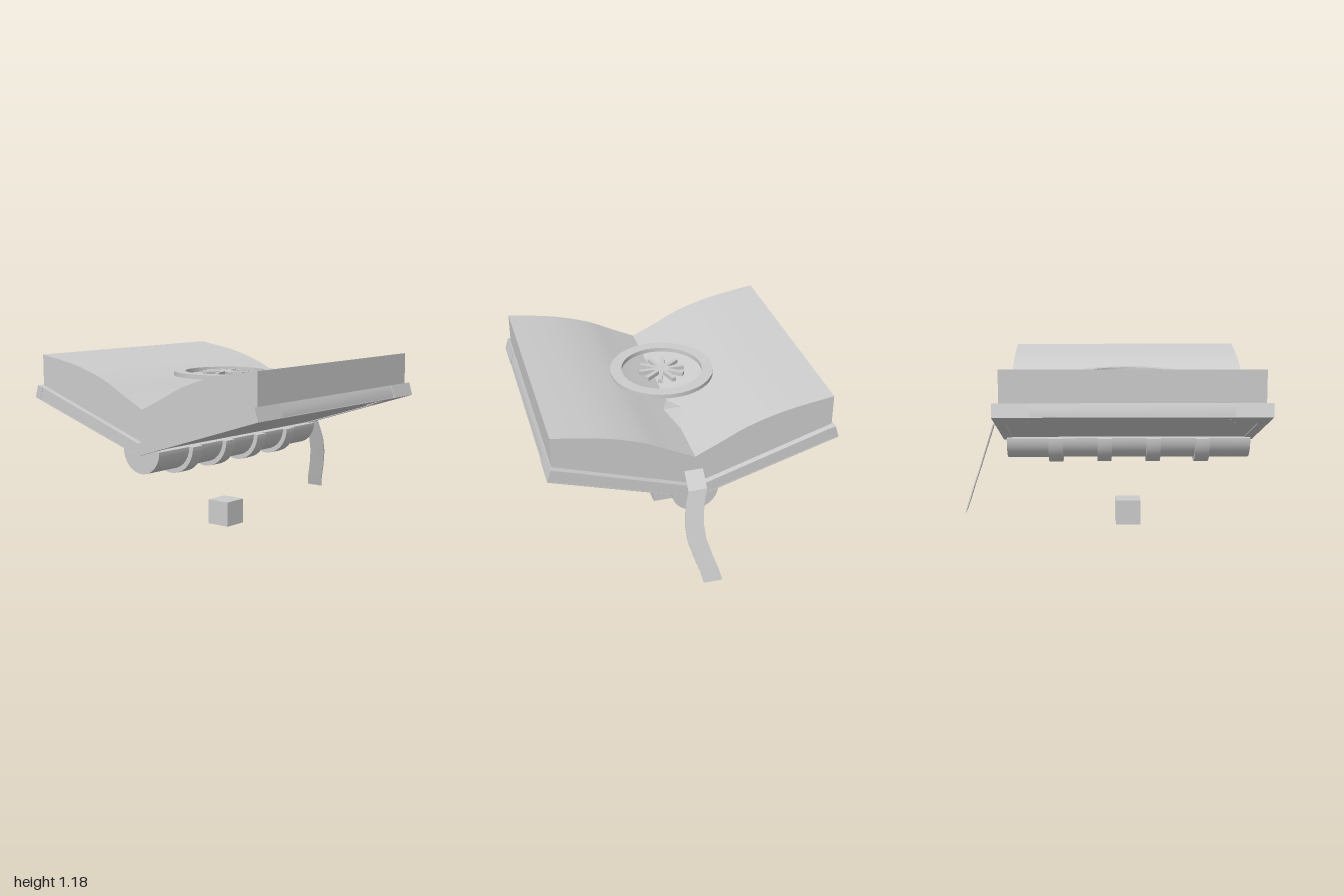
import * as THREE from 'three';
import { toCreasedNormals } from 'three/addons/utils/BufferGeometryUtils.js';

const MID = 0.135; // z centre of the book

export function createModel() {
  const model = new THREE.Group();
  model.name = 'openBook';
  const stone = new THREE.MeshStandardMaterial({ color: 0xcccccc });
  stone.name = 'plain grey';

  const add = (name, geometry, parent = model, crease = 0.4) => {
    const mesh = new THREE.Mesh(toCreasedNormals(geometry, crease), stone);
    mesh.name = name;
    parent.add(mesh);
    return mesh;
  };
  const shapeOf = (points) => new THREE.Shape(points.map(([x, y]) => new THREE.Vector2(x, y)));
  // Extrudes an x-y outline evenly to both sides of a z centre
  const slab = (shape, length, z = MID, curveSegments = 16) =>
    new THREE.ExtrudeGeometry(shape, { depth: length, bevelEnabled: false, curveSegments })
      .translate(0, 0, z - length / 2);
  const mirrored = (points) => points.concat(
    points.slice().reverse().filter(([x]) => x > 0).map(([x, y]) => [-x, y]));

  // Page block with gently swelling leaves
  const leaf = new THREE.SplineCurve([[0, 0.88], [0.17, 0.962], [0.35, 1.05], [0.6, 1.126], [0.92, 1.18]]
    .map(([x, y]) => new THREE.Vector2(x, y))).getPoints(14).map((p) => [p.x, p.y]);
  const pageHalf = [[0, 0.665], [0.92, 0.967], ...leaf.slice(1).reverse()];
  const pageOutline = [...pageHalf, leaf[0],
    ...pageHalf.slice(1).reverse().map(([x, y]) => [-x, y])];
  add('pages', slab(shapeOf(pageOutline), 1.645));

  // Chevron cover
  const coverHalf = [[0, 0.596], [0.948, 0.894], [0.943, 0.93], [0.925, 0.974]];
  const coverOutline = [...coverHalf, [0, 0.67],
    ...coverHalf.slice(1).reverse().map(([x, y]) => [-x, y])];
  add('cover', slab(shapeOf(coverOutline), 1.725));

  // Raised border under each board, widening at the outer corners, plus edge caps
  const slope = Math.atan2(0.3, 0.955);
  for (const side of [1, -1]) {
    const board = new THREE.Group();
    board.name = side > 0 ? 'leftBoardTrim' : 'rightBoardTrim';
    board.position.set(0, 0.596, MID);
    board.rotation.y = side > 0 ? 0 : Math.PI;
    model.add(board);

    const border = shapeOf([[0, -0.865], [0.998, -0.865], [0.998, 0.865], [0, 0.865]]);
    const notch = [[0.935, 0.61], [0.85, 0.61], [0.83, 0.65], [0.76, 0.65], [0.74, 0.68], [0.74, 0.8]];
    const hole = [[0.02, -0.8], ...notch.slice().reverse().map(([u, z]) => [u, -z]), ...notch, [0.02, 0.8]];
    border.holes.push(new THREE.Path(hole.map(([u, z]) => new THREE.Vector2(u, z))));
    const plate = new THREE.ExtrudeGeometry(border, { depth: 0.006, bevelEnabled: false });
    plate.rotateX(Math.PI / 2).rotateZ(slope);
    add('boardBorder', plate, board);

    for (const end of [1, -1]) {
      const cap = new THREE.BoxGeometry(0.05, 0.086, 0.235);
      cap.translate(0.978, 0.039, end * 0.747).rotateZ(slope);
      add('cornerCap', cap, board);
    }
  }

  // Half-round spine and its four raised bands
  const halfDisc = new THREE.Shape();
  halfDisc.absarc(0, 0.625, 0.155, Math.PI, 2 * Math.PI, false);
  add('spine', slab(halfDisc, 1.67));
  for (const z of [0.64, 0.305, -0.03, -0.365]) {
    const band = new THREE.Shape();
    band.absarc(0, 0.625, 0.187, Math.PI, 2 * Math.PI, false);
    band.absarc(0, 0.625, 0.15, 2 * Math.PI, Math.PI, true);
    add('spineBand', slab(band, 0.098, z));
  }

  // Floating ring with a ten-pointed star of crossed bars
  const ringProfile = [[0.275, 1.038], [0.352, 1.038], [0.352, 1.067], [0.275, 1.067], [0.275, 1.038]];
  add('ring', new THREE.LatheGeometry(ringProfile.map(([x, y]) => new THREE.Vector2(x, y)), 48)
    .translate(0, 0, MID));
  const star = new THREE.Group();
  star.name = 'star';
  star.position.set(0, 1.052, MID);
  model.add(star);
  for (let i = 0; i < 5; i++) {
    add('starBar', new THREE.BoxGeometry(0.315, 0.028, 0.028), star).rotation.y = i * Math.PI / 5;
  }

  // Ribbon: lies in the gutter, folds over the back edge and hangs in a wave
  const path = [[0, 0.86, 0.1], [0, 0.905, -0.14], [0, 0.88, -0.33], [0.01, 0.775, -0.69],
    [0.015, 0.7, -0.8], [0.04, 0.61, -0.83], [0.055, 0.49, -0.87], [0.045, 0.38, -0.905],
    [0.01, 0.26, -0.945], [-0.025, 0.16, -0.975], [-0.042, 0.09, -0.999]];
  const rows = path.length - 1;
  const ribbon = new THREE.BoxGeometry(0.124, 0.008, 1, 1, 1, rows);
  const pos = ribbon.attributes.position;
  for (let i = 0; i < pos.count; i++) {
    const r = Math.round((0.5 - pos.getZ(i)) * rows);
    const [x, y, z] = path[r];
    const a = path[Math.max(r - 1, 0)], b = path[Math.min(r + 1, rows)];
    const dy = b[1] - a[1], dz = b[2] - a[2], len = Math.hypot(dy, dz);
    const t = pos.getY(i);
    pos.setXYZ(i, x + pos.getX(i), y - t * dz / len, Math.max(z + t * dy / len, -1));
  }
  add('ribbon', ribbon, model, 0.3);

  // Small block floating below
  add('block', new THREE.BoxGeometry(0.17, 0.17, 0.17).translate(0, 0.085, MID));

  return model;
}
